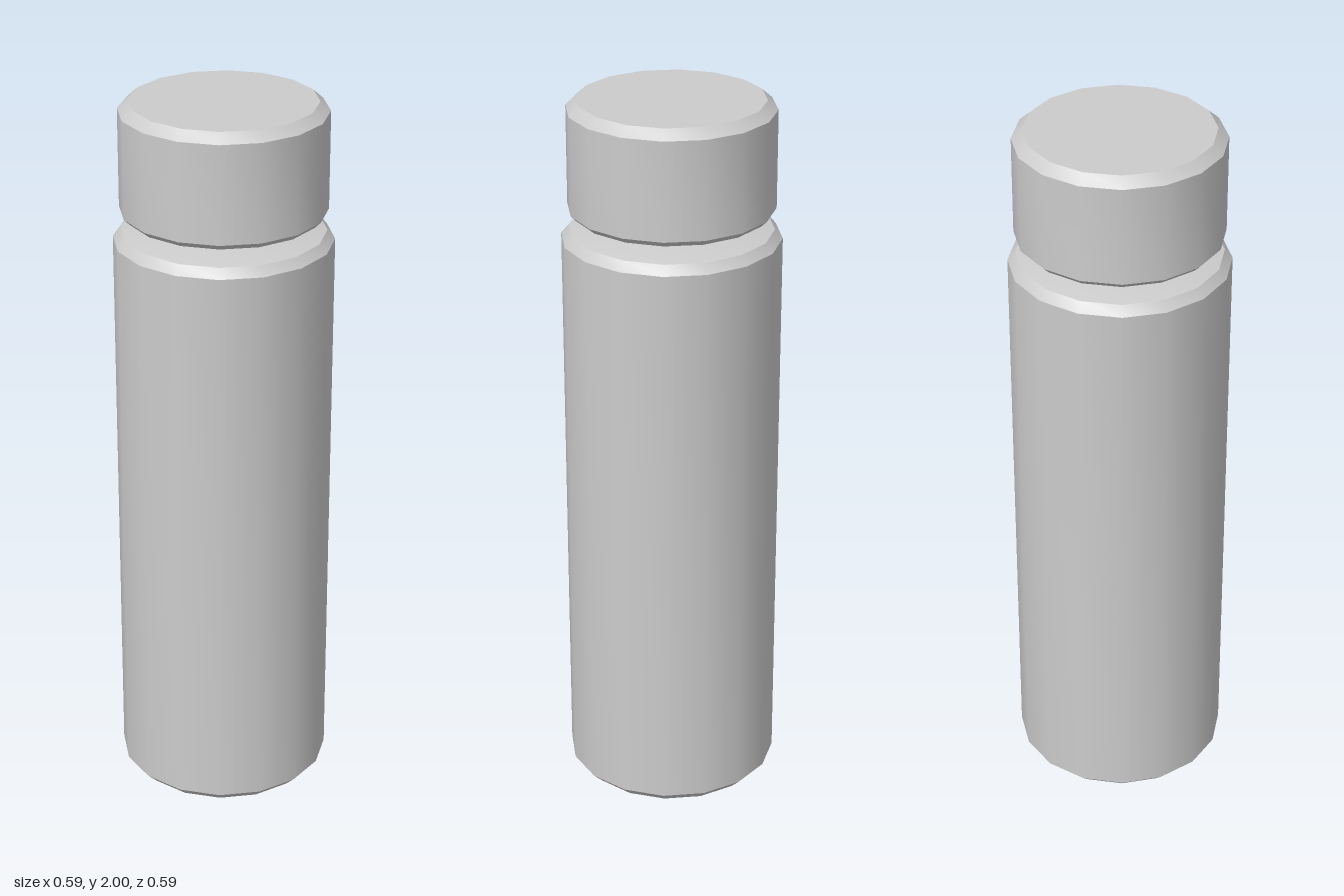
import * as THREE from 'three';
import { toCreasedNormals } from 'three/addons/utils/BufferGeometryUtils.js';

const SIDES = 16;

// Turns a [radius, height] profile (bottom to top) into a smooth-sided part with crisp rims
function turned(name, profile, material) {
  const points = profile.map(([r, y]) => new THREE.Vector2(r, y));
  const geometry = toCreasedNormals(new THREE.LatheGeometry(points, SIDES), THREE.MathUtils.degToRad(30));
  const mesh = new THREE.Mesh(geometry, material);
  mesh.name = name;
  return mesh;
}

export function createModel() {
  const group = new THREE.Group();
  group.name = 'bottle';
  const material = new THREE.MeshStandardMaterial({ color: 0xcccccc });

  // Tall body with chamfered base and rounded shoulder
  group.add(turned('body', [
    [0, 0], [0.266, 0], [0.296, 0.03], [0.296, 1.62],
    [0.275, 1.645], [0.2, 1.662], [0.115, 1.67], [0, 1.67],
  ], material));

  // Narrow neck joining body and cap
  group.add(turned('neck', [[0, 1.66], [0.115, 1.66], [0.115, 1.7], [0, 1.7]], material));

  // Cap with chamfered rims and a shallow step underneath
  group.add(turned('cap', [
    [0, 1.685], [0.185, 1.685], [0.185, 1.69], [0.262, 1.69], [0.278, 1.706],
    [0.278, 1.975], [0.25, 2], [0, 2],
  ], material));

  return group;
}
